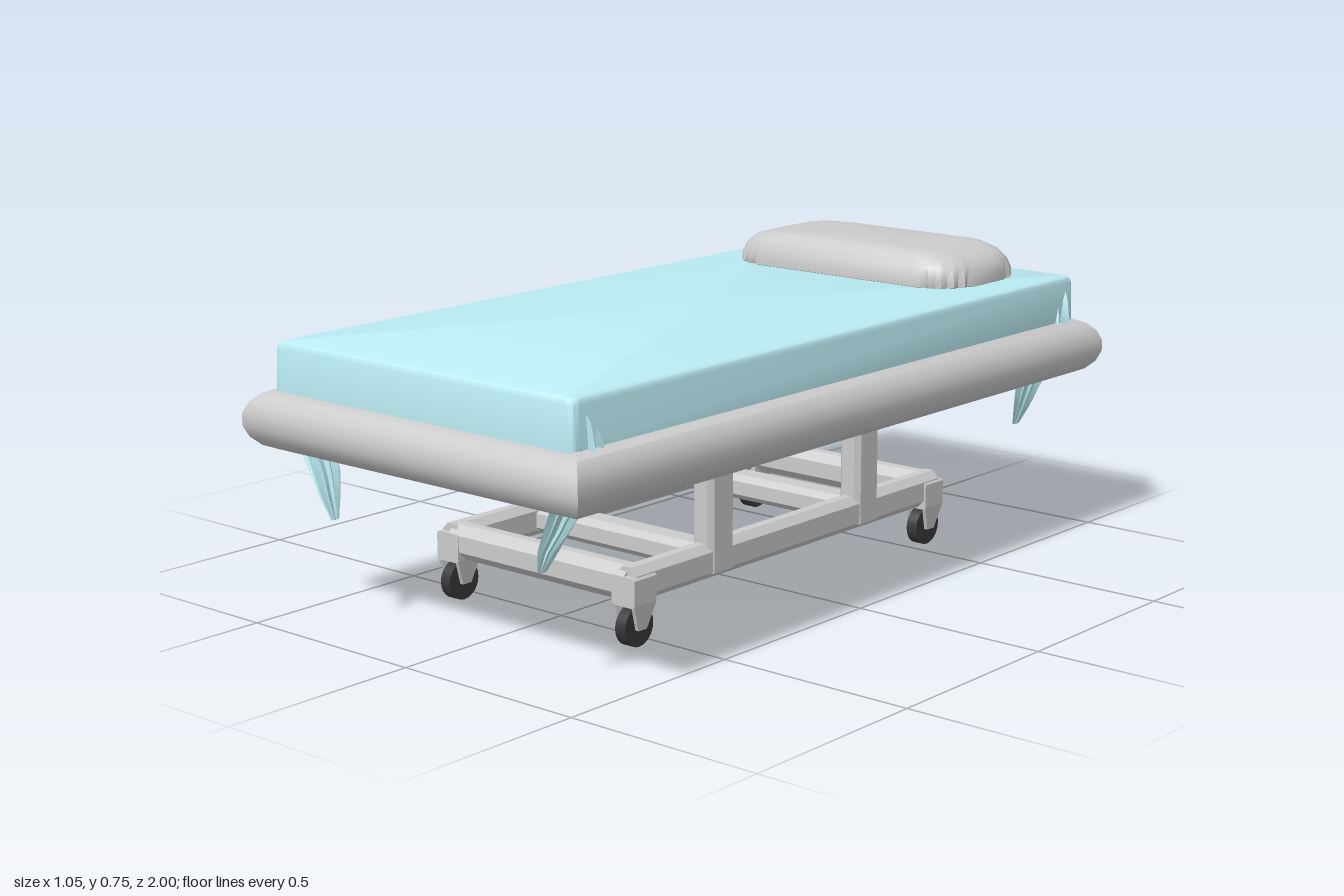
import * as THREE from 'three';
import { toCreasedNormals } from 'three/addons/utils/BufferGeometryUtils.js';

const grey = new THREE.MeshStandardMaterial({ color: 0xcccccc });
const cloth = new THREE.MeshStandardMaterial({ color: 0xbcecf4, side: THREE.DoubleSide });
const rubber = new THREE.MeshStandardMaterial({ color: 0x383838 });

// Skin a list of equal-length closed rings; wrap joins the last ring to the first.
function loft(rings, crease = 0.6, wrap = false) {
  const n = rings[0].length, index = [];
  for (let i = 0; i < rings.length - (wrap ? 0 : 1); i++) {
    const k = (i + 1) % rings.length;
    for (let j = 0; j < n; j++) {
      const m = (j + 1) % n;
      const a = i * n + j, b = i * n + m, c = k * n + m, d = k * n + j;
      index.push(a, b, c, a, c, d);
    }
  }
  const geo = new THREE.BufferGeometry();
  geo.setAttribute('position', new THREE.Float32BufferAttribute(rings.flat(2), 3));
  geo.setIndex(index);
  return toCreasedNormals(geo, crease);
}

// Horizontal rounded rectangle, optionally crinkled at its corners.
function roundRect(hx, hz, r, y, crinkle = 0, n = 10) {
  const ring = [];
  [[1, -1], [-1, -1], [-1, 1], [1, 1]].forEach(([sx, sz], q) => {
    for (let j = 0; j <= n; j++) {
      const t = (q + j / n) * Math.PI / 2;
      const rr = r + (j % 2 ? -crinkle : crinkle * 0.5);
      ring.push([sx * (hx - r) + rr * Math.cos(t), y, sz * (hz - r) - rr * Math.sin(t)]);
    }
  });
  return ring;
}

// Chamfered bar along z, centred on the origin.
function bar(w, h, length, c) {
  const x = w / 2, y = h / 2;
  const shape = new THREE.Shape([
    [x, c - y], [x, y - c], [x - c, y], [c - x, y],
    [-x, y - c], [-x, c - y], [c - x, -y], [x - c, -y],
  ].map((p) => new THREE.Vector2(...p)));
  return new THREE.ExtrudeGeometry(shape, { depth: length, bevelEnabled: false }).translate(0, 0, -length / 2);
}

function add(parent, name, geo, mat, x = 0, y = 0, z = 0) {
  const mesh = new THREE.Mesh(geo, mat);
  mesh.name = name;
  mesh.position.set(x, y, z);
  parent.add(mesh);
  return mesh;
}

// Round bumper rail with mitred corners.
function bumperRail() {
  const r = 0.073;
  const rings = [[1, 1], [1, -1], [-1, -1], [-1, 1]].map(([sx, sz]) =>
    Array.from({ length: 16 }, (_, j) => {
      const t = (j + 0.5) / 16 * Math.PI * 2, out = r * Math.cos(t);
      return [sx * (0.453 + out), 0.482 - r * Math.sin(t), sz * (0.927 + out)];
    }));
  return loft(rings, 0.6, true);
}

// Gathered sheet corner that hangs down inside the rail to a point.
function sheetTail(sx, sz) {
  const levels = [ // y, centre x, centre z, radius x, radius z
    [0.655, 0.435, 0.915, 0.018, 0.022], [0.61, 0.438, 0.898, 0.034, 0.045],
    [0.555, 0.442, 0.885, 0.04, 0.058], [0.48, 0.425, 0.885, 0.042, 0.052],
    [0.41, 0.388, 0.89, 0.036, 0.04], [0.36, 0.368, 0.892, 0.028, 0.036],
    [0.31, 0.346, 0.9, 0.018, 0.028], [0.26, 0.327, 0.902, 0.006, 0.012],
  ];
  return loft(levels.map(([y, cx, cz, rx, rz], i) =>
    Array.from({ length: 20 }, (_, j) => {
      const t = j / 20 * Math.PI * 2 + i * 0.12;
      const fold = j % 2 ? 0.68 : 1 + 0.12 * Math.sin(j * 2.3 + i);
      return [sx * (cx + rx * fold * Math.cos(t)), y, sz * (cz + rz * fold * Math.sin(t))];
    })), 0.5);
}

// Caster with housing, two tapered fork plates, wheel and axle.
function caster() {
  const g = new THREE.Group();
  g.name = 'caster';
  add(g, 'casterHousing', bar(0.07, 0.07, 0.075, 0.005), grey, 0, 0.135, 0);
  const plate = new THREE.Shape([[-0.0375, 0.105], [-0.014, 0.042], [0.014, 0.042], [0.0375, 0.105]]
    .map((p) => new THREE.Vector2(...p)));
  for (const s of [-1, 1]) {
    const geo = new THREE.ExtrudeGeometry(plate, { depth: 0.01, bevelEnabled: false });
    geo.translate(0, 0, -0.005).rotateY(Math.PI / 2);
    // Fork plates lean in towards the axle
    const p = geo.attributes.position;
    for (let i = 0; i < p.count; i++) p.setX(i, p.getX(i) + s * (0.021 + (p.getY(i) - 0.042) * 0.14));
    geo.computeVertexNormals();
    add(g, 'forkPlate', geo, grey);
  }
  add(g, 'wheel', new THREE.CylinderGeometry(0.048, 0.048, 0.03, 24).rotateZ(Math.PI / 2), rubber, 0, 0.048, 0);
  add(g, 'axle', new THREE.CylinderGeometry(0.01, 0.01, 0.05, 12).rotateZ(Math.PI / 2), grey, 0, 0.053, 0);
  return g;
}

export function createModel() {
  const model = new THREE.Group();
  model.name = 'wheeledBed';

  add(model, 'bumperRail', bumperRail(), grey);

  // Sheet: an open shell with softly rounded top edges
  add(model, 'sheet', loft([
    roundRect(0.465, 0.948, 0.02, 0.46),
    roundRect(0.468, 0.95, 0.02, 0.56),
    roundRect(0.465, 0.948, 0.02, 0.65),
    roundRect(0.461, 0.944, 0.02, 0.662),
    roundRect(0.448, 0.931, 0.02, 0.667),
    roundRect(0, 0, 0, 0.667),
  ], 0.9), cloth);
  for (const sx of [-1, 1]) for (const sz of [-1, 1]) add(model, 'sheetCorner', sheetTail(sx, sz), cloth);

  // Pillow: stacked outlines, crinkled around the lower corners
  add(model, 'pillow', loft([
    roundRect(0, 0, 0, 0.655),
    roundRect(0.345, 0.155, 0.09, 0.655, 0.006),
    roundRect(0.36, 0.168, 0.1, 0.668, 0.007),
    roundRect(0.36, 0.168, 0.1, 0.69, 0.005),
    roundRect(0.352, 0.162, 0.1, 0.715, 0.002),
    roundRect(0.33, 0.15, 0.09, 0.735),
    roundRect(0.28, 0.135, 0.07, 0.75),
    roundRect(0.2, 0.115, 0.05, 0.755),
    roundRect(0, 0, 0, 0.755),
  ], 0.7), grey, 0, 0, -0.71);

  // Base rails and end tubes
  for (const s of [-1, 1]) {
    add(model, 'baseRail', bar(0.06, 0.085, 1.16, 0.018), grey, s * 0.28, 0.148, 0);
    add(model, 'baseEndTube', bar(0.07, 0.085, 0.56, 0.022).rotateY(Math.PI / 2), grey, 0, 0.148, s * 0.556);
  }

  // Two lifting frames: columns with upper and lower crossbeams
  for (const z of [-0.28, 0.28]) {
    for (const s of [-1, 1])
      add(model, 'column', bar(0.062, 0.09, 0.35, 0.012).rotateX(Math.PI / 2), grey, s * 0.281, 0.295, z);
    add(model, 'upperCrossbeam', bar(0.09, 0.075, 0.56, 0.012).rotateY(Math.PI / 2), grey, 0, 0.432, z);
    add(model, 'railSupport', bar(0.088, 0.05, 0.88, 0.012).rotateY(Math.PI / 2), grey, 0, 0.445, z);
    add(model, 'lowerCrossbeam', bar(0.08, 0.065, 0.54, 0.015).rotateY(Math.PI / 2), grey, 0, 0.148, z);
  }

  // Casters under the base corners
  for (const sx of [-1, 1]) for (const sz of [-1, 1]) {
    const c = caster();
    c.position.set(sx * 0.28, 0, sz * 0.556);
    model.add(c);
  }
  return model;
}
